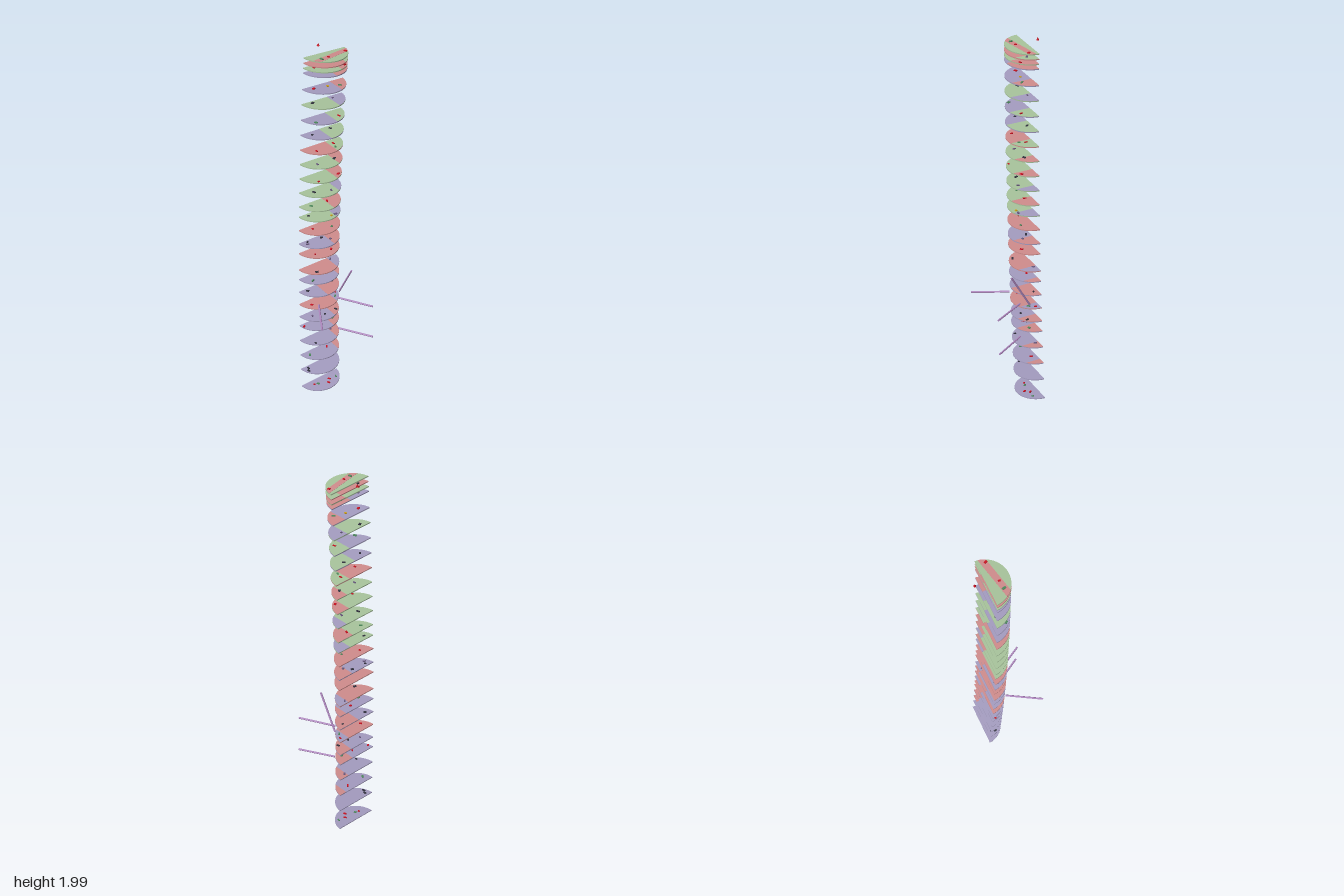
import * as THREE from 'three';

const COLORS = { g: 0xa8c49c, r: 0xd08c8c, p: 0xa49cc0 };
const HOLD_COLORS = [0xcc1020, 0x333340, 0x4c8a5c, 0x333340, 0xcc1020, 0x6a5a80];
const STICK = 0xb088c0;
const R = 0.1143, CHORD = 0.007, THICK = 0.005;
const START = Math.asin(CHORD / R) * 180 / Math.PI;

// Height, base and accent colour, accent arc end angle (degrees; 0 = none)
const LEVELS = [
  [0.018, 'pp', 0], [0.138, 'pp', 0], [0.238, 'pr', 50], [0.338, 'pr', 60], [0.436, 'pr', 75],
  [0.497, 'pr', 70], [0.577, 'rp', 60], [0.656, 'pr', 95], [0.736, 'pr', 50], [0.797, 'rp', 60],
  [0.897, 'rr', 0], [0.956, 'pr', 75], [1.036, 'rr', 0], [1.115, 'gp', 70], [1.175, 'gr', 80],
  [1.255, 'gp', 60], [1.335, 'gr', 70], [1.415, 'gr', 65], [1.494, 'rg', 75], [1.574, 'pg', 95],
  [1.654, 'pg', 80], [1.735, 'gp', 75], [1.813, 'pr', 70], [1.897, 'pr', 90], [1.921, 'gr', 75],
  [1.946, 'rg', 60], [1.972, 'gr', -1],
];
// Sideways positions of the small holds on each level
const HOLDS = [
  [-0.04, -0.02, 0.03, 0.05, 0.09], [-0.07, -0.08], [-0.07, 0.04], [-0.06, 0.07], [-0.1, -0.01, 0.06],
  [-0.06, 0, 0.07], [-0.07, 0.07, 0.09], [-0.08, 0.07], [-0.07, 0.01], [-0.06, 0.06],
  [-0.06, 0.03], [-0.09, -0.08, 0, 0.03], [-0.06, 0.03], [-0.08, 0.015, 0.04], [-0.07, 0.02],
  [-0.06, 0.02], [-0.06, 0.06], [-0.05, 0.05], [-0.06, 0.04, 0.05], [-0.07, 0.04],
  [-0.07, 0.06], [-0.06, 0.05], [-0.06, 0.01, 0.065], [-0.055, 0.05], [-0.06, 0, 0.08],
  [-0.05, -0.02, 0.085], [-0.04, 0, 0.105],
];

let seed = 7;
const rand = () => (seed = (seed * 16807) % 2147483647) / 2147483647;

function mesh(name, geometry, color) {
  const m = new THREE.Mesh(geometry, new THREE.MeshStandardMaterial({ color, flatShading: true }));
  m.name = name;
  return m;
}

// Points on the rounded front rim; y of the shape becomes z toward the front
function rim(from, to, n = 24) {
  return Array.from({ length: n + 1 }, (_, i) => {
    const a = THREE.MathUtils.degToRad(from + (to - from) * i / n);
    return new THREE.Vector2(R * Math.cos(a), R * Math.sin(a) - CHORD);
  });
}

// Horizontal slab whose upper face lies at the given height
function slab(points, depth, top) {
  const g = new THREE.ExtrudeGeometry(new THREE.Shape(points), { depth, bevelEnabled: false });
  g.rotateX(Math.PI / 2);
  g.translate(0, top, 0);
  return g;
}

function stick(a, b) {
  const from = new THREE.Vector3(...a), to = new THREE.Vector3(...b);
  const dir = to.clone().sub(from);
  const m = mesh('stick', new THREE.CylinderGeometry(0.005, 0.005, dir.length(), 6), STICK);
  m.position.copy(from).add(to).multiplyScalar(0.5);
  m.quaternion.setFromUnitVectors(new THREE.Vector3(0, 1, 0), dir.normalize());
  return m;
}

export function createModel() {
  const model = new THREE.Group();
  model.name = 'plateTower';

  // Half-round plates following a gently bowed spine
  LEVELS.forEach(([y, [base, accent], end], i) => {
    const level = new THREE.Group();
    level.name = 'level' + (i + 1);
    const x = -0.007 + 0.024 * (y - 1) ** 2;
    level.position.set(x, y, -0.143 + 0.0297 * y);
    level.rotation.z = -0.048 * (y - 1);
    level.add(mesh('plate', slab(rim(START, 180 - START, 40), THICK, THICK / 2), COLORS[base]));

    // Painted area: an end of the plate, or a band across it
    if (end) {
      const pts = end > 0
        ? [...rim(START, end), new THREE.Vector2(R * Math.cos(end * Math.PI / 180), 0)]
        : [...rim(10, 28, 6), ...rim(130, 148, 6)];
      level.add(mesh('paintedArea', slab(pts, 0.0006, THICK / 2 + 0.0005), COLORS[accent]));
    }

    // Small blocks set through the plate
    HOLDS[i].forEach((hx, k) => {
      const color = (i === 22 || i === 13) && k === 1 ? 0xd0a010 : HOLD_COLORS[(i + k * 2) % 6];
      const hold = mesh('hold', new THREE.BoxGeometry(0.008 + 0.01 * rand(), 0.013, 0.006 + 0.005 * rand()), color);
      const px = hx - x;
      const depth = Math.sqrt(R * R - px * px) - CHORD;
      hold.position.set(px, 0, depth * (0.2 + 0.65 * rand()));
      hold.rotation.y = rand() * 3;
      level.add(hold);
    });
    model.add(level);
  });

  // Projecting sticks
  model.add(
    stick([-0.062, 0.606, -0.03], [-0.16, 0.597, 0.14]),
    stick([0.057, 0.602, -0.03], [0.152, 0.607, 0.14]),
    stick([0.061, 0.404, -0.03], [0.16, 0.408, 0.137]),
    stick([0.093, 0.605, -0.067], [0.093, 0.793, 0.037]),
  );

  // Small marker above the top plate
  const tip = mesh('tipMarker', new THREE.ConeGeometry(0.007, 0.014, 6), 0xcc1020);
  tip.position.set(0.018, 1.993, -0.135);
  model.add(tip);
  return model;
}
